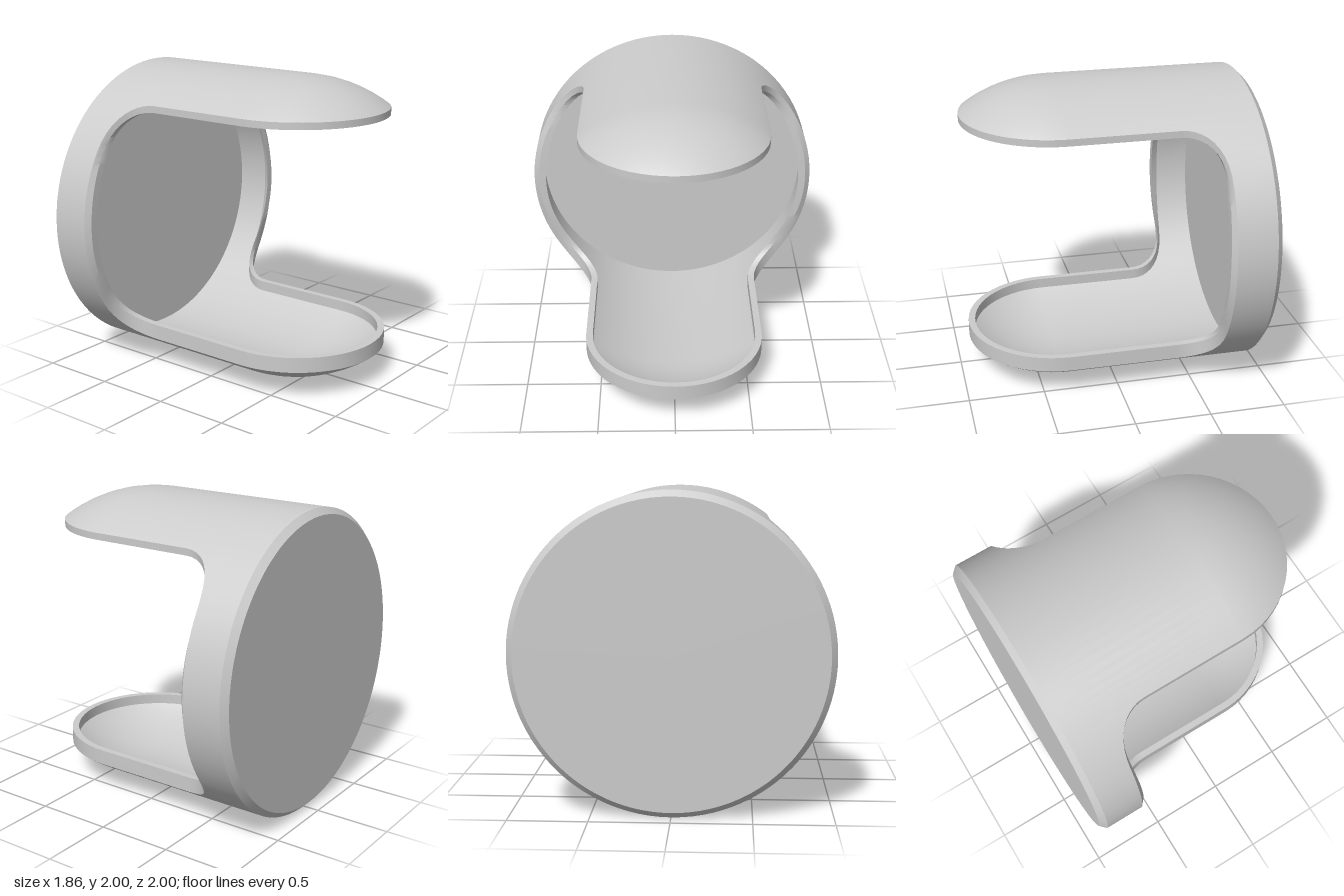
import * as THREE from 'three';
import { toCreasedNormals } from 'three/addons/utils/BufferGeometryUtils.js';

const DOME_X = 0.33;   // where the arms start rounding off
const ARM = 0.6;       // half width of an arm
const LIP = 0.555;     // half width inside the lip
const CAVITY = 0.95;   // inner radius
const DOME_STEPS = 8;

// Plan outline of a quarter of the rim: arm tip, straight edge, fillet, side
function quarterOutline() {
  const pts = [];
  for (let i = 0; i <= 14; i++) {
    const a = (i / 14) * Math.PI / 2;
    pts.push({ arm: true, c: Math.cos(a), s: Math.sin(a) });
  }
  pts.push({ arm: true, c: 0, s: 1, x: -0.37 });
  for (let i = 1; i <= 10; i++) {
    const a = (i / 10) * Math.PI / 2;
    pts.push({ x: -0.37 - 0.26 * Math.sin(a), z: 0.86 - 0.26 * Math.cos(a) });
  }
  const start = Math.acos(0.86);
  for (let i = 1; i <= 10; i++) pts.push({ x: -0.63, z: Math.cos(start * (1 - i / 10)) });
  return pts;
}

// One strip from the back centre, over the outside, across the lip, back along the cavity
function strip(p, sy, sz) {
  const h = sy > 0 ? 0.755 : 0.7;
  const rows = [];
  const put = (x, y, z) => rows.push([x, 1 + sy * y, sz * z]);
  let outer, lip1, lip2, inner;
  if (p.arm) {
    const at = (r, y) => [p.x ?? DOME_X + r * p.c, y, r * p.s];
    outer = at(ARM, 0.8);
    lip1 = at(ARM, h);
    lip2 = at(LIP, h);
    inner = at(LIP, Math.sqrt(CAVITY ** 2 - LIP ** 2));
  } else {
    const y = Math.sqrt(Math.max(0, 1 - p.z * p.z));
    const f = y / 0.8, y1 = f * h;
    const edge = (side, end) => {
      const r = THREE.MathUtils.lerp(side, Math.hypot(end, h), f * f);
      return [p.x + 0.03 * (1 - f * f), y1, Math.sqrt(r * r - y1 * y1)];
    };
    outer = [p.x, y, p.z];
    lip1 = edge(0.965, ARM);
    lip2 = edge(0.915, LIP);
    const a = Math.acos(LIP / CAVITY) * Math.atan2(y, p.z) / Math.atan2(0.8, 0.6);
    inner = [p.x - 0.02 * (1 - f * f), CAVITY * Math.sin(a), CAVITY * Math.cos(a)];
  }
  // Lengthwise line on a cylinder that ends in a spherical cap
  const shell = (end, R) => {
    const x0 = Math.min(end[0], DOME_X), out = [];
    for (let k = 0; k <= DOME_STEPS; k++) {
      const d = (end[0] - x0) * Math.sin((k / DOME_STEPS) * Math.PI / 2);
      out.push([x0 + d, Math.sqrt(Math.max(0, R * R - end[2] ** 2 - d * d)), end[2]]);
    }
    return out;
  };
  const outside = shell(outer, 1), inside = shell(inner, CAVITY).reverse();
  const [, by, bz] = outside[0], [, cy, cz] = inside[DOME_STEPS];
  put(-0.93, 0, 0);
  put(-0.93, by * 0.96, bz * 0.96);
  put(-0.89, by, bz);
  for (const q of [...outside, lip1, lip2, ...inside]) put(...q);
  put(-0.88, cy, cz);
  put(-0.88, 0, 0);
  return rows;
}

// Joins neighbouring strips, leaving out collapsed triangles
function loft(strips) {
  const pos = [];
  const [a, b, c] = [0, 1, 2].map(() => new THREE.Vector3());
  const e = new THREE.Vector3(), g = new THREE.Vector3();
  const tri = (p, q, r) => {
    a.fromArray(p); b.fromArray(q); c.fromArray(r);
    if (e.subVectors(b, a).cross(g.subVectors(c, a)).length() > 1e-8) pos.push(...p, ...q, ...r);
  };
  strips.forEach((s, i) => {
    const n = strips[(i + 1) % strips.length];
    for (let j = 0; j < s.length - 1; j++) {
      tri(s[j], n[j], s[j + 1]);
      tri(n[j], n[j + 1], s[j + 1]);
    }
  });
  const geo = new THREE.BufferGeometry();
  geo.setAttribute('position', new THREE.Float32BufferAttribute(pos, 3));
  return toCreasedNormals(geo, 0.5);
}

export function createModel() {
  const group = new THREE.Group();
  group.name = 'openCap';
  const q = quarterOutline(), r = [...q].reverse();
  const strips = [
    ...q.map(p => strip(p, 1, 1)),
    ...r.map(p => strip(p, -1, 1)),
    ...q.map(p => strip(p, -1, -1)),
    ...r.map(p => strip(p, 1, -1)),
  ];
  // Round cup with two rounded arms, one hollow shell
  const shell = new THREE.Mesh(loft(strips), new THREE.MeshStandardMaterial({ color: 0xcccccc }));
  shell.name = 'cupWithArms';
  group.add(shell);
  return group;
}
